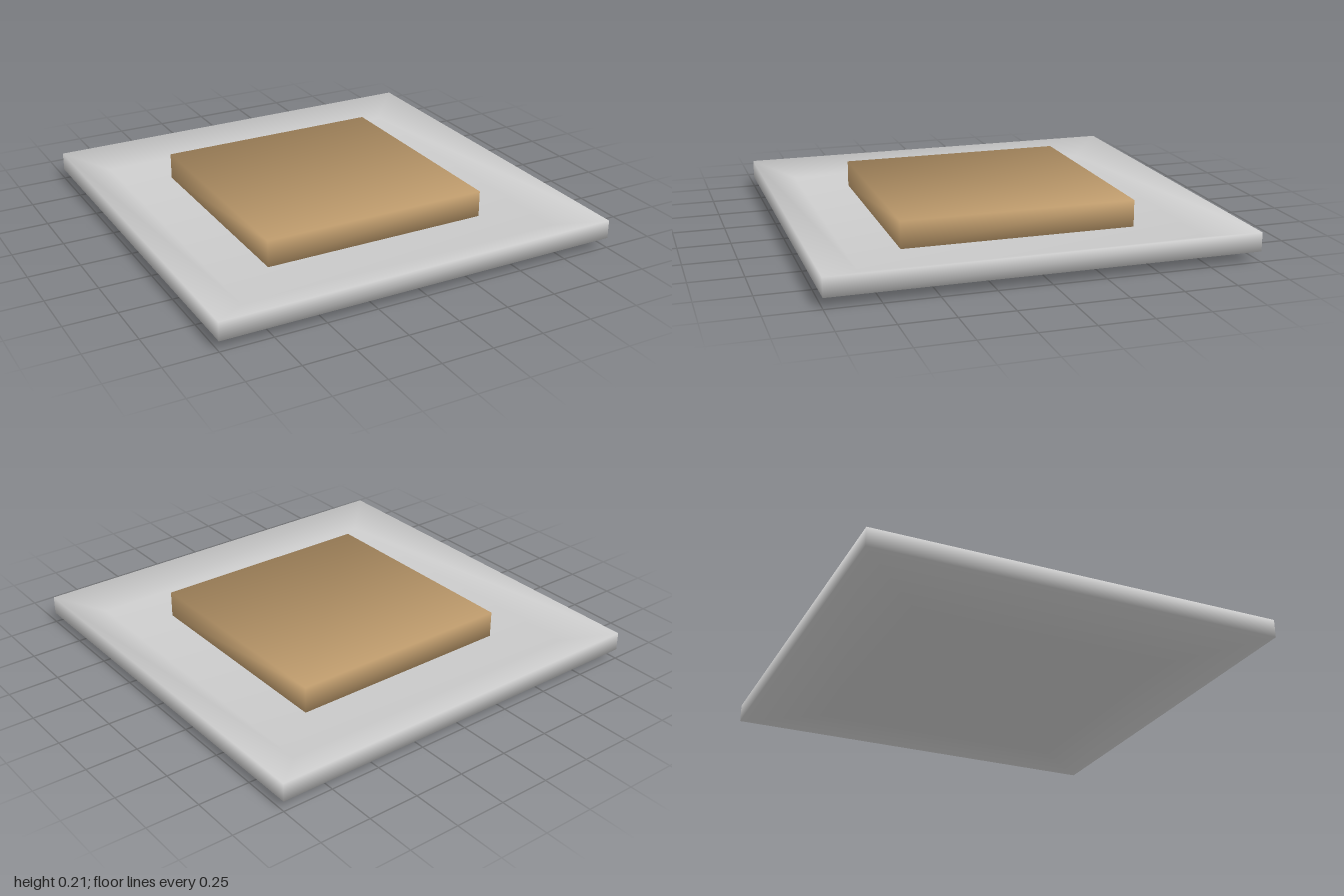
import * as THREE from 'three';

// Closed solid from square rings [halfWidth, y], ordered along the surface from the
// bottom cap to the top cap. Corners are shared and every face counts equally
// in the corner normals, so the shading is smooth all round.
function squareSolid(rings) {
  const corners = [[-1, 1], [1, 1], [1, -1], [-1, -1]];
  const points = rings.flatMap(([half, y]) =>
    corners.map(([sx, sz]) => new THREE.Vector3(sx * half, y, sz * half)));

  const t = points.length - 4;
  const quads = [[0, 3, 2, 1], [t, t + 1, t + 2, t + 3]];
  for (let i = 0; i < t; i += 4) {
    for (let k = 0; k < 4; k++) {
      const a = i + k, b = i + (k + 1) % 4;
      quads.push([a, b, b + 4, a + 4]);
    }
  }

  const normals = points.map(() => new THREE.Vector3());
  const index = [];
  for (const [a, b, c, d] of quads) {
    index.push(a, b, c, a, c, d);
    const normal = new THREE.Triangle(points[a], points[b], points[c]).getNormal(new THREE.Vector3());
    for (const v of [a, b, c, d]) normals[v].add(normal);
  }

  const geometry = new THREE.BufferGeometry().setFromPoints(points);
  geometry.setAttribute('normal', new THREE.Float32BufferAttribute(normals.flatMap((n) => n.toArray()), 3));
  geometry.normalizeNormals();
  geometry.setIndex(index);
  return geometry;
}

function part(name, geometry, color) {
  const mesh = new THREE.Mesh(geometry, new THREE.MeshStandardMaterial({ color }));
  mesh.name = name;
  return mesh;
}

export function createModel() {
  const model = new THREE.Group();
  model.name = 'plateWithSlab';

  // Plate: flat foot, flared underside, upright edge, rim sloping in to a sunken floor
  model.add(part('plate', squareSolid([
    [0.6, 0], [1, 0.05], [1, 0.14], [0.81, 0.08],
  ]), 0xcccccc));

  // Slab resting on the plate floor
  model.add(part('slab', squareSolid([[0.565, 0.08], [0.565, 0.21]]), 0xc4a070));

  return model;
}
